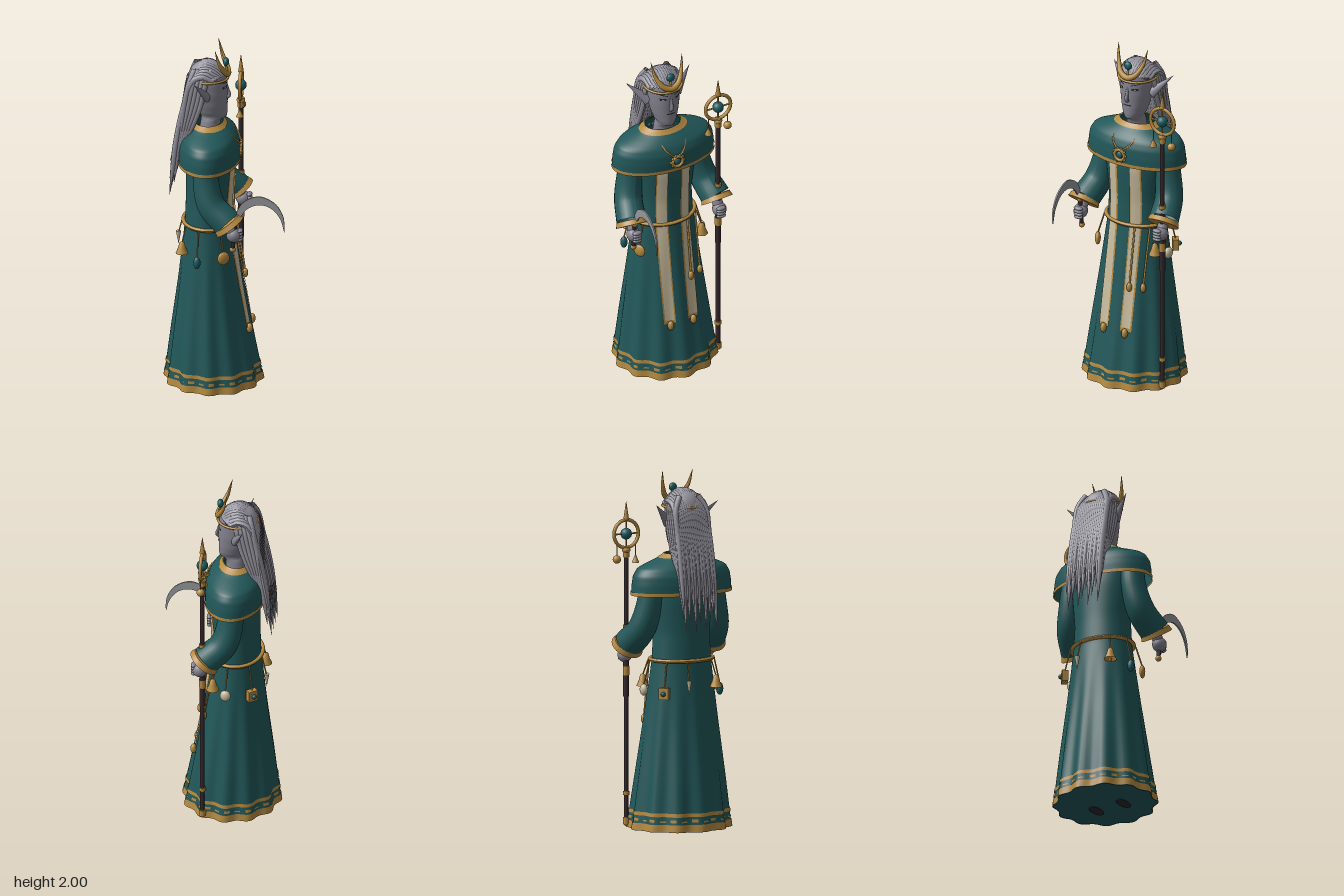
import * as THREE from 'three';

const mat = (name, color, side = THREE.DoubleSide) => {
  const m = new THREE.MeshStandardMaterial({ color, side });
  m.name = name;
  return m;
};
const V = (x, y, z) => new THREE.Vector3(x, y, z);
const UP = V(0, 1, 0);

export function createModel() {
  const teal = mat('teal cloth', 0x22585a), gold = mat('gold', 0xb58a40), cream = mat('cream', 0xcabd9f);
  const skin = mat('grey skin', 0x85838f), hair = mat('silver hair', 0x96949f), wood = mat('dark wood', 0x33272a);
  const steel = mat('steel', 0x96989c), gem = mat('gem', 0x1c5d62), dark = mat('dark', 0x29262b);

  // The figure is built facing +z and turned to face +x at the end.
  const figure = new THREE.Group();
  figure.name = 'figure';
  const add = (name, geo, m, x = 0, y = 0, z = 0) => {
    const mesh = new THREE.Mesh(geo, m);
    mesh.name = name;
    mesh.position.set(x, y, z);
    figure.add(mesh);
    return mesh;
  };
  const ball = (name, r, m, x, y, z, sx = 1, sy = 1, sz = 1) => {
    const b = add(name, new THREE.SphereGeometry(r, 20, 14), m, x, y, z);
    b.scale.set(sx, sy, sz);
    return b;
  };

  // Surface grid from a function of u and v; closed grids wrap in u.
  const grid = (fn, nu, nv, closed = false) => {
    const pos = [], idx = [], w = closed ? nu : nu + 1;
    for (let j = 0; j <= nv; j++) for (let i = 0; i < w; i++) pos.push(...fn(i / nu, j / nv).toArray());
    for (let j = 0; j < nv; j++) for (let i = 0; i < nu; i++) {
      const a = j * w + i, b = j * w + (i + 1) % w;
      idx.push(a, b, b + w, a, b + w, a + w);
    }
    const g = new THREE.BufferGeometry();
    g.setAttribute('position', new THREE.Float32BufferAttribute(pos, 3));
    g.setIndex(idx);
    g.computeVertexNormals();
    return g;
  };
  // Oval section by height, from rows of [y, rx, rz, centre z].
  const profile = rows => y => {
    let i = 0;
    while (i < rows.length - 2 && y > rows[i + 1][0]) i++;
    const a = rows[i], b = rows[i + 1], t = THREE.MathUtils.clamp((y - a[0]) / (b[0] - a[0]), 0, 1);
    return [1, 2, 3].map(k => a[k] + (b[k] - a[k]) * t);
  };
  const surface = (prof, pleat = 0) => (a, y, off = 0) => {
    const [rx, rz, cz] = prof(y);
    const r = off + pleat * Math.max(0, 1 - y / 0.9) * Math.cos(12 * a);
    return V((rx + r) * Math.sin(a), y, cz + (rz + r) * Math.cos(a));
  };
  const wrap = (s, y0, y1, off, nv, a0 = 0, a1 = Math.PI * 2, nu = 96) =>
    grid((u, v) => s(a0 + (a1 - a0) * u, y0 + (y1 - y0) * v, off), nu, nv, a1 - a0 > 6.2);
  // Tube along a curve with a radius that varies along it.
  const taper = (pts, radius, n = 24, sides = 10) => {
    const c = new THREE.CatmullRomCurve3(pts), g = new THREE.TubeGeometry(c, n, 1, sides);
    const p = g.attributes.position, v = V(0, 0, 0);
    for (let i = 0; i < p.count; i++) {
      const t = Math.floor(i / (sides + 1)) / n, o = c.getPointAt(t);
      v.fromBufferAttribute(p, i).sub(o).multiplyScalar(radius(t)).add(o);
      p.setXYZ(i, v.x, v.y, v.z);
    }
    g.computeVertexNormals();
    return g;
  };
  const cord = (name, pts, r, m) => add(name, taper(pts, () => r, 16, 6), m);

  // Robe with pleated skirt
  const robeProfile = profile([[0.01, 0.285, 0.265, -0.075], [0.3, 0.252, 0.222, -0.085], [0.6, 0.215, 0.178, -0.092],
    [0.95, 0.173, 0.135, -0.1], [1.1, 0.165, 0.13, -0.1], [1.3, 0.185, 0.135, -0.095], [1.46, 0.19, 0.11, -0.1]]);
  const robe = surface(robeProfile, 0.012);
  add('robe', wrap(robe, 0.01, 1.46, 0, 40), teal);
  add('robeUnderside', grid((u, v) => robe(u * Math.PI * 2, 0.012).lerp(V(0, 0.02, -0.075), 1 - v), 96, 2, true), teal);
  add('hemBand', wrap(robe, 0.012, 0.052, 0.004, 2), gold);
  add('upperHemBand', wrap(robe, 0.095, 0.115, 0.004, 1), gold);
  for (let i = 0; i < 28; i++) {
    const a = i / 28 * Math.PI * 2;
    add('hemDash', wrap(robe, 0.064, 0.072 + (i % 2) * 0.008, 0.004, 1, a, a + 0.12, 3), gold);
  }
  for (const s of [-1, 1]) ball('shoe', 0.05, dark, s * 0.09, 0.012, -0.03, 0.6, 0.24, 1.2);

  // Stole panels with gold borders and tassels
  const strip = (x0, x1, y0, y1, off) => grid((u, v) => {
    const y = y0 + (y1 - y0) * v, x = x0 + (x1 - x0) * u;
    return robe(Math.asin(x / robeProfile(y)[0]), y, off);
  }, 4, 36);
  for (const s of [-1, 1]) {
    add('stoleBorder', strip(s * 0.07 - 0.032, s * 0.07 + 0.032, 0.345, 1.37, 0.007), gold);
    add('stole', strip(s * 0.07 - 0.025, s * 0.07 + 0.025, 0.365, 1.37, 0.011), cream);
    const p = robe(s * 0.28, 0.335, 0.016);
    ball('stoleTassel', 0.018, gold, p.x, p.y, p.z, 1, 1.6, 1);
  }

  // Shoulder cape and collar
  const cape = surface(profile([[1.32, 0.305, 0.17, -0.1], [1.38, 0.303, 0.17, -0.1], [1.43, 0.295, 0.165, -0.1],
    [1.47, 0.27, 0.148, -0.1], [1.5, 0.2, 0.122, -0.1], [1.52, 0.145, 0.098, -0.1], [1.545, 0.1, 0.075, -0.105]]));
  add('cape', wrap(cape, 1.325, 1.545, 0, 22), teal);
  add('capeTrim', wrap(cape, 1.322, 1.342, 0.005, 2), gold);
  add('collar', wrap(cape, 1.525, 1.548, 0.006, 2), gold);

  // Necklace
  for (const s of [-1, 1]) cord('necklaceChain', [V(s * 0.085, 1.525, -0.035), V(s * 0.06, 1.46, 0.052), V(s * 0.02, 1.42, 0.074)], 0.005, gold);
  add('medallionRing', new THREE.TorusGeometry(0.031, 0.009, 10, 28), gold, 0, 1.388, 0.078);
  ball('medallionGem', 0.02, gem, 0, 1.388, 0.078, 1, 1, 0.5);
  for (let i = 0; i < 10; i++) {
    const a = i * Math.PI / 5;
    ball('medallionBead', 0.007, gold, 0.041 * Math.cos(a), 1.388 + 0.041 * Math.sin(a), 0.078);
  }

  // Sleeves, cuffs and hands
  for (const s of [-1, 1]) {
    const path = [V(s * 0.19, 1.42, -0.1), V(s * 0.205, 1.27, -0.1), V(s * 0.235, 1.13, -0.065), V(s * 0.262, 1.04, 0.025)];
    add('sleeve', taper(path, t => 0.066 + 0.018 * t, 24, 24), teal);
    const dir = V(s * 0.06, -0.78, 0.6).normalize();
    const cuff = add('cuff', new THREE.CylinderGeometry(0.083, 0.092, 0.03, 32), gold, s * 0.264, 1.032, 0.032);
    cuff.quaternion.setFromUnitVectors(UP, dir.clone().negate());
    add('wrist', taper([V(s * 0.264, 1.03, 0.03), V(s * 0.268, 0.975, 0.06)], () => 0.03, 4, 14), skin);
    ball('hand', 0.042, skin, s * 0.268, 0.972, 0.062, 0.95, 1, 1);
    for (let i = 0; i < 4; i++) ball('finger', 0.015, skin, s * 0.262, 0.948 + i * 0.017, 0.096, 1.9, 0.75, 1.1);
  }

  // Belt, hanging cords and trinkets
  add('belt', grid((u, v) => {
    const b = v * Math.PI * 2;
    return robe(u * Math.PI * 2, 0.955, 0.01 + 0.011 * Math.cos(b)).add(V(0, 0.011 * Math.sin(b), 0));
  }, 64, 10, true), gold);
  for (const [a, y] of [[0.42, 0.61], [0.72, 0.61]]) {
    const x = a === 0.42 ? 0.07 : 0.135;
    const at = h => robe(Math.asin(x / robeProfile(h)[0]), h, 0.02);
    cord('beltCord', [at(0.95), at(0.8), at(y)], 0.006, gold);
    ball('cordTassel', 0.016, gold, ...at(y - 0.005).toArray(), 1, 1.7, 1);
  }
  const dangle = (a, y, part) => {
    const p = robe(a, y, 0.035);
    cord('trinketCord', [robe(a, 0.95, 0.02), p.clone().setY(y + 0.03)], 0.004, gold);
    const m = part(p);
    m.rotation.y = a;
  };
  const bell = p => {
    ball('bellClapper', 0.01, gold, p.x, p.y - 0.035, p.z);
    return add('bell', new THREE.LatheGeometry([[0.001, 0.04], [0.014, 0.032], [0.022, 0], [0.035, -0.03]].map(q => new THREE.Vector2(...q)), 20), gold, p.x, p.y, p.z);
  };
  dangle(-1.05, 0.8, p => ball('goldDisc', 0.036, gold, p.x, p.y, p.z, 1, 1.05, 0.45));
  dangle(-1.85, 0.775, p => ball('flask', 0.02, gem, p.x, p.y, p.z, 1, 1.8, 1));
  dangle(-2.45, 0.83, bell);
  dangle(1.0, 0.83, bell);
  dangle(1.45, 0.79, p => ball('pouch', 0.03, cream, p.x, p.y, p.z, 1, 1.1, 0.7));
  dangle(2.25, 0.78, p => {
    ball('charmBoxGem', 0.014, gem, p.x + 0.016, p.y, p.z - 0.015);
    return add('charmBox', new THREE.BoxGeometry(0.055, 0.065, 0.035), gold, p.x, p.y, p.z);
  });
  dangle(2.9, 0.81, p => add('tooth', new THREE.ConeGeometry(0.015, 0.08, 12).rotateX(Math.PI), cream, p.x, p.y, p.z));

  // Head and face
  const head = surface(profile([[1.48, 0.06, 0.058, -0.1], [1.56, 0.052, 0.054, -0.092], [1.575, 0.045, 0.07, -0.075],
    [1.6, 0.06, 0.08, -0.08], [1.65, 0.076, 0.088, -0.088], [1.72, 0.089, 0.099, -0.098], [1.79, 0.093, 0.103, -0.104],
    [1.84, 0.085, 0.093, -0.106], [1.88, 0.055, 0.06, -0.108], [1.895, 0.001, 0.001, -0.108]]));
  add('head', wrap(head, 1.48, 1.895, 0, 34, 0, Math.PI * 2, 40), skin);
  add('nose', taper([V(0, 1.77, -0.006), V(0, 1.73, 0.003), V(0, 1.7, 0.009), V(0, 1.69, -0.004)], t => 0.006 + 0.007 * t, 12), skin);
  add('mouth', wrap(head, 1.66, 1.667, 0.003, 1, -0.32, 0.32, 8), dark);
  for (const s of [-1, 1]) {
    add('eye', wrap(head, 1.755, 1.769, 0.003, 2, s * 0.5 - 0.2, s * 0.5 + 0.2, 6), dark);
    add('iris', wrap(head, 1.757, 1.765, 0.005, 1, s * 0.5 - 0.06, s * 0.5 + 0.06, 3), steel);
    add('brow', grid((u, v) => head(s * (0.22 + 0.55 * u), 1.782 + 0.012 * u + 0.005 * v, 0.004), 6, 1), dark);
    // Long pointed ear
    const ear = add('ear', new THREE.ConeGeometry(0.036, 0.17, 16), skin, s * 0.143, 1.775, -0.135);
    ear.scale.set(0.9, 1, 0.55);
    ear.quaternion.setFromUnitVectors(UP, V(s * 0.115, 0.115, -0.06).normalize());
  }

  // Hair: scalp, combed-back strands and side strands
  ball('scalp', 0.1, hair, 0, 1.795, -0.128, 1, 1.02, 0.93);
  const strand = t => 0.017 * (t > 0.6 ? Math.max(0.05, 1 - ((t - 0.6) / 0.4) ** 2) : 1);
  for (let i = 0; i < 17; i++) {
    const u = i / 8 - 1, x = u * 0.095, top = 1.895 - 0.055 * u * u, end = 1.13 + 0.19 * ((i * 7) % 5) / 4;
    add('hairStrand', taper([V(x * 0.9, 1.825, -0.025 - 0.04 * u * u), V(x * 0.95, top - 0.022, -0.055 - 0.03 * u * u), V(x, top, -0.12),
      V(x * 1.03, 1.82, -0.2 + 0.02 * u * u), V(x * 1.05, 1.65, -0.235), V(x * 1.08, 1.45, -0.275), V(x * 1.1, end, -0.312)], strand, 36, 8), hair);
  }
  for (const s of [-1, 1]) for (let j = 0; j < 5; j++) {
    const z = -0.022 * j;
    add('sideStrand', taper([V(s * 0.06, 1.87, -0.09 + z), V(s * 0.096, 1.8, -0.115 + z), V(s * 0.1, 1.68, -0.14 + z),
      V(s * 0.1, 1.53, -0.195 + z * 0.6), V(s * 0.095, 1.4 - 0.05 * j, -0.262 + z * 0.3)], strand, 24, 8), hair);
  }

  // Crown: circlet, upturned crescent and gem
  const circlet = add('circlet', new THREE.TorusGeometry(0.108, 0.007, 8, 48).rotateX(Math.PI / 2), gold, 0, 1.808, -0.108);
  circlet.scale.set(1, 1, 1.04);
  add('crescent', taper([V(-0.097, 2.0, -0.06), V(-0.08, 1.91, -0.035), V(-0.045, 1.85, -0.005), V(0, 1.832, 0.004),
    V(0.045, 1.85, -0.005), V(0.08, 1.91, -0.035), V(0.097, 2.0, -0.06)], t => 0.001 + 0.016 * Math.sin(Math.PI * t), 40, 12), gold);
  ball('crownGem', 0.024, gem, 0, 1.9, -0.008, 1, 1, 0.7);
  cord('gemMount', [V(0, 1.83, 0.003), V(0, 1.89, -0.012)], 0.007, gold);

  // Staff with ringed orb, finial and small bells
  const sx = 0.267, sz = 0.048;
  const rod = (name, r0, r1, y0, y1, m) => add(name, new THREE.CylinderGeometry(r1, r0, y1 - y0, 16), m, sx, (y0 + y1) / 2, sz);
  rod('staffShaft', 0.013, 0.013, 0.03, 1.54, wood);
  rod('staffGrip', 0.017, 0.017, 0.74, 1.12, wood);
  for (const [y0, y1] of [[0.03, 0.065], [0.19, 0.21], [0.86, 0.91], [1.12, 1.14], [1.52, 1.575]]) rod('staffBand', 0.019, 0.019, y0, y1, gold);
  ball('staffFoot', 0.018, gold, sx, 0.035, sz);
  ball('staffKnob', 0.024, gold, sx, 1.56, sz, 1, 0.8, 1);
  add('staffRing', new THREE.TorusGeometry(0.078, 0.01, 10, 40), gold, sx, 1.65, sz);
  ball('staffOrb', 0.032, gem, sx, 1.65, sz);
  rod('ringUpright', 0.005, 0.005, 1.57, 1.73, gold);
  cord('ringCrossbar', [V(sx - 0.078, 1.65, sz), V(sx + 0.078, 1.65, sz)], 0.005, gold);
  rod('finial', 0.016, 0.001, 1.73, 1.83, gold);
  ball('finialBead', 0.014, gold, sx, 1.735, sz);
  cord('staffBellCord', [V(sx + 0.06, 1.6, sz), V(sx + 0.06, 1.53, sz)], 0.003, gold);
  ball('staffBell', 0.023, gold, sx + 0.06, 1.51, sz);
  cord('staffBellCord', [V(sx - 0.06, 1.6, sz), V(sx - 0.06, 1.53, sz)], 0.003, gold);
  add('staffCone', new THREE.ConeGeometry(0.021, 0.05, 16), gold, sx - 0.06, 1.51, sz);

  // Sickle
  const blade = new THREE.Shape();
  const pts = list => list.map(p => new THREE.Vector2(...p));
  blade.moveTo(0.06, 1.07);
  blade.splineThru(pts([[0.11, 1.165], [0.2, 1.208], [0.29, 1.17], [0.338, 1.09], [0.343, 1.0]]));
  blade.splineThru(pts([[0.32, 1.08], [0.27, 1.14], [0.2, 1.158], [0.13, 1.125], [0.085, 1.05]]));
  const sickle = add('sickleBlade', new THREE.ExtrudeGeometry(blade, { depth: 0.008, bevelEnabled: false, curveSegments: 30 }), steel, -0.262, 0, 0);
  sickle.rotation.y = -Math.PI / 2;
  cord('sickleHandle', [V(-0.266, 0.885, 0.055), V(-0.266, 1.07, 0.074)], 0.013, wood);
  ball('sicklePommel', 0.017, gold, -0.266, 0.885, 0.055);
  ball('sickleFerrule', 0.018, gold, -0.266, 1.05, 0.073);

  figure.rotation.y = Math.PI / 2;
  const model = new THREE.Group();
  model.name = 'robedElf';
  model.add(figure);
  return model;
}
